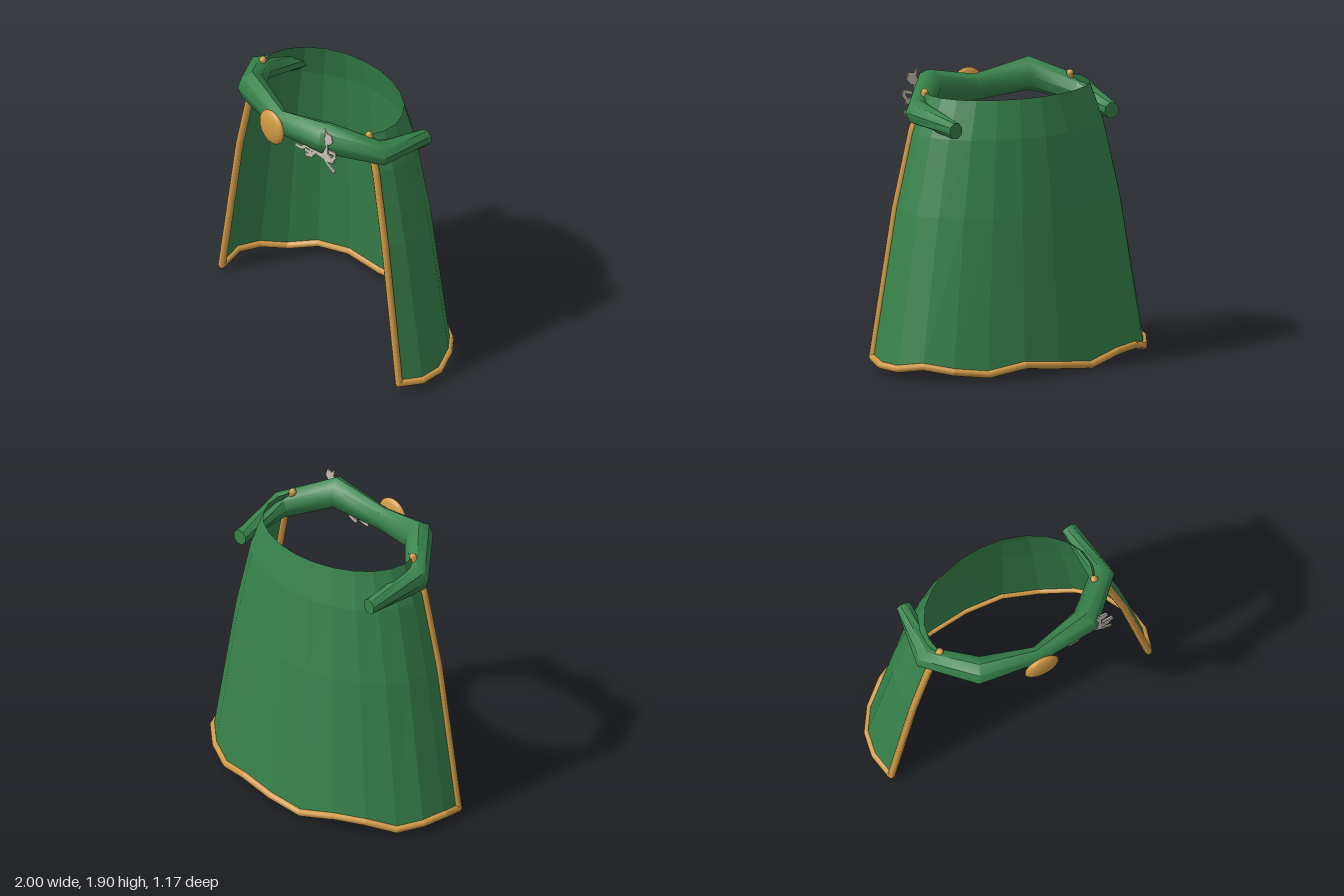
import * as THREE from 'three';
import { mergeGeometries, toCreasedNormals } from 'three/addons/utils/BufferGeometryUtils.js';

const V = (x, y, z) => new THREE.Vector3(x, y, z);

// Skin a surface over rows of points; closed rows become a capped tube
function loft(rows, closed) {
  const pos = [];
  const tri = (...pts) => pts.forEach(p => pos.push(p.x, p.y, p.z));
  const n = rows[0].length;
  for (let i = 0; i < rows.length - 1; i++) {
    for (let j = 0; j < (closed ? n : n - 1); j++) {
      const k = (j + 1) % n;
      tri(rows[i][j], rows[i + 1][j], rows[i][k]);
      tri(rows[i][k], rows[i + 1][j], rows[i + 1][k]);
    }
  }
  if (closed) {
    const cap = (row, flip) => {
      const c = row.reduce((s, p) => s.add(p), V(0, 0, 0)).divideScalar(n);
      row.forEach((p, j) => {
        const q = row[(j + 1) % n];
        flip ? tri(c, q, p) : tri(c, p, q);
      });
    };
    cap(rows[0], false);
    cap(rows[rows.length - 1], true);
  }
  const g = new THREE.BufferGeometry();
  g.setAttribute('position', new THREE.Float32BufferAttribute(pos, 3));
  g.computeVertexNormals();
  return g;
}

// Round cord following straight segments, with a bead at every joint
function cord(points, r) {
  const parts = [];
  points.forEach((p, i) => {
    parts.push(new THREE.SphereGeometry(r, 8, 6).translate(p.x, p.y, p.z));
    if (i === 0) return;
    const d = p.clone().sub(points[i - 1]);
    const g = new THREE.CylinderGeometry(r, r, d.length(), 8, 1, true);
    g.applyQuaternion(new THREE.Quaternion().setFromUnitVectors(V(0, 1, 0), d.clone().normalize()));
    const m = p.clone().add(points[i - 1]).multiplyScalar(0.5);
    parts.push(g.translate(m.x, m.y, m.z));
  });
  return mergeGeometries(parts);
}

export function createModel() {
  const group = new THREE.Group();
  const mat = (name, color, side = THREE.FrontSide) => {
    const m = new THREE.MeshStandardMaterial({ color, side });
    m.name = name;
    return m;
  };
  const green = mat('green cloth', 0x37834c, THREE.DoubleSide);
  const gold = mat('gold', 0xd19a45);
  const silver = mat('silver', 0xc9c2b4);
  const add = (name, geometry, material) => {
    const mesh = new THREE.Mesh(geometry, material);
    mesh.name = name;
    group.add(mesh);
    return mesh;
  };

  // Cape: elliptical arcs open at the front, with a wavy hem
  const hem = [0.03, 0.07, 0.06, 0.035, 0.08, 0.08, 0.03, 0.06, 0.085, 0.04, 0.06, 0.09, 0.06, 0.06, 0.08];
  // y, x radius, z radius, z centre
  const levels = [[0.06, 0.973, 0.617, 0.055], [1.05, 0.80, 0.533, 0.063], [1.55, 0.68, 0.466, 0.066], [1.8, 0.583, 0.408, 0.07]];
  const rows = levels.map(([y, rx, rz, cz], i) => hem.map((h, j) => {
    const a = THREE.MathUtils.degToRad((j - 7) * 15.2);
    return V(Math.sin(a) * rx, i === 0 ? h : y, cz - Math.cos(a) * rz);
  }));
  add('cape', loft(rows, false), green);

  // Gold piping on the hem and the two front edges
  add('hemTrim', cord(rows[0], 0.025), gold);
  add('rightEdgeTrim', cord(rows.map(r => r[0]), 0.025), gold);
  add('leftEdgeTrim', cord(rows.map(r => r[14]), 0.025), gold);

  // Rolled collar: half path mirrored; x, y, z, side radius, height radius, twist
  const half = [
    [0.6, 1.625, -0.255, 0.053, 0.055, 1.3],
    [0.635, 1.685, 0.145, 0.085, 0.088, 0],
    [0.385, 1.78, 0.41, 0.095, 0.112, 0],
  ];
  const mirror = ([x, y, z, a, b, t]) => [-x, y, z, a, b, -t];
  const path = [...half.map(mirror), [0, 1.72, 0.463, 0.055, 0.088, 0], ...half.slice().reverse()];
  const centres = path.map(p => V(p[0], p[1], p[2]));
  const collarRows = path.map(([, , , a, b, twist], i) => {
    const before = centres[Math.max(i - 1, 0)], after = centres[Math.min(i + 1, path.length - 1)];
    const dirIn = centres[i].clone().sub(before).normalize();
    const dirOut = after.clone().sub(centres[i]).normalize();
    const side = dirIn.add(dirOut).cross(V(0, 1, 0)).normalize();
    return Array.from({ length: 8 }, (_, j) => {
      const t = j / 8 * Math.PI * 2;
      const s = t + twist;
      return centres[i].clone().addScaledVector(side, Math.cos(s) * a).add(V(0, Math.sin(s) * b, 0));
    });
  });
  add('collar', toCreasedNormals(loft(collarRows, true), 0.9), green);

  // Clasp: flattened round disc
  const clasp = add('clasp', new THREE.SphereGeometry(0.121, 20, 12), gold);
  clasp.scale.z = 0.31;
  clasp.position.set(0, 1.716, 0.546);

  // Running animal brooch, cut from a thin plate
  const brooch = new THREE.Group();
  brooch.name = 'brooch';
  group.add(brooch);
  const plate = (name, pts) => {
    const shape = new THREE.Shape(pts.map(([x, y]) => new THREE.Vector2(x, y)));
    const mesh = new THREE.Mesh(new THREE.ExtrudeGeometry(shape, { depth: 0.009, bevelEnabled: false }), silver);
    mesh.name = name;
    mesh.position.z = 0.451;
    brooch.add(mesh);
  };
  plate('broochHead', [[0.444, 1.905], [0.468, 1.872], [0.513, 1.878], [0.527, 1.83], [0.492, 1.793], [0.433, 1.80], [0.452, 1.85]]);
  plate('broochBody', [[0.433, 1.80], [0.475, 1.795], [0.475, 1.72], [0.535, 1.695], [0.535, 1.672], [0.47, 1.655],
    [0.32, 1.655], [0.22, 1.65], [0.21, 1.67], [0.25, 1.69], [0.4, 1.705]]);
  const limbs = {
    tail: [[0.25, 1.667], [0.2, 1.625], [0.14, 1.617]],
    hindLeg: [[0.34, 1.665], [0.3, 1.615], [0.245, 1.597]],
    secondHindLeg: [[0.29, 1.67], [0.3, 1.635], [0.24, 1.63]],
    foreLeg: [[0.43, 1.67], [0.48, 1.635], [0.54, 1.612]],
    raisedLeg: [[0.51, 1.68], [0.55, 1.73], [0.545, 1.755], [0.49, 1.74]],
  };
  for (const [name, pts] of Object.entries(limbs)) {
    for (let i = 1; i < pts.length; i++) {
      const [x0, y0] = pts[i - 1], [x1, y1] = pts[i];
      const len = Math.hypot(x1 - x0, y1 - y0);
      const bone = new THREE.Mesh(new THREE.BoxGeometry(len + 0.012, 0.024, 0.009), silver);
      bone.name = name;
      bone.position.set((x0 + x1) / 2, (y0 + y1) / 2, 0.4555);
      bone.rotation.z = Math.atan2(y1 - y0, x1 - x0);
      brooch.add(bone);
    }
  }
  return group;
}
